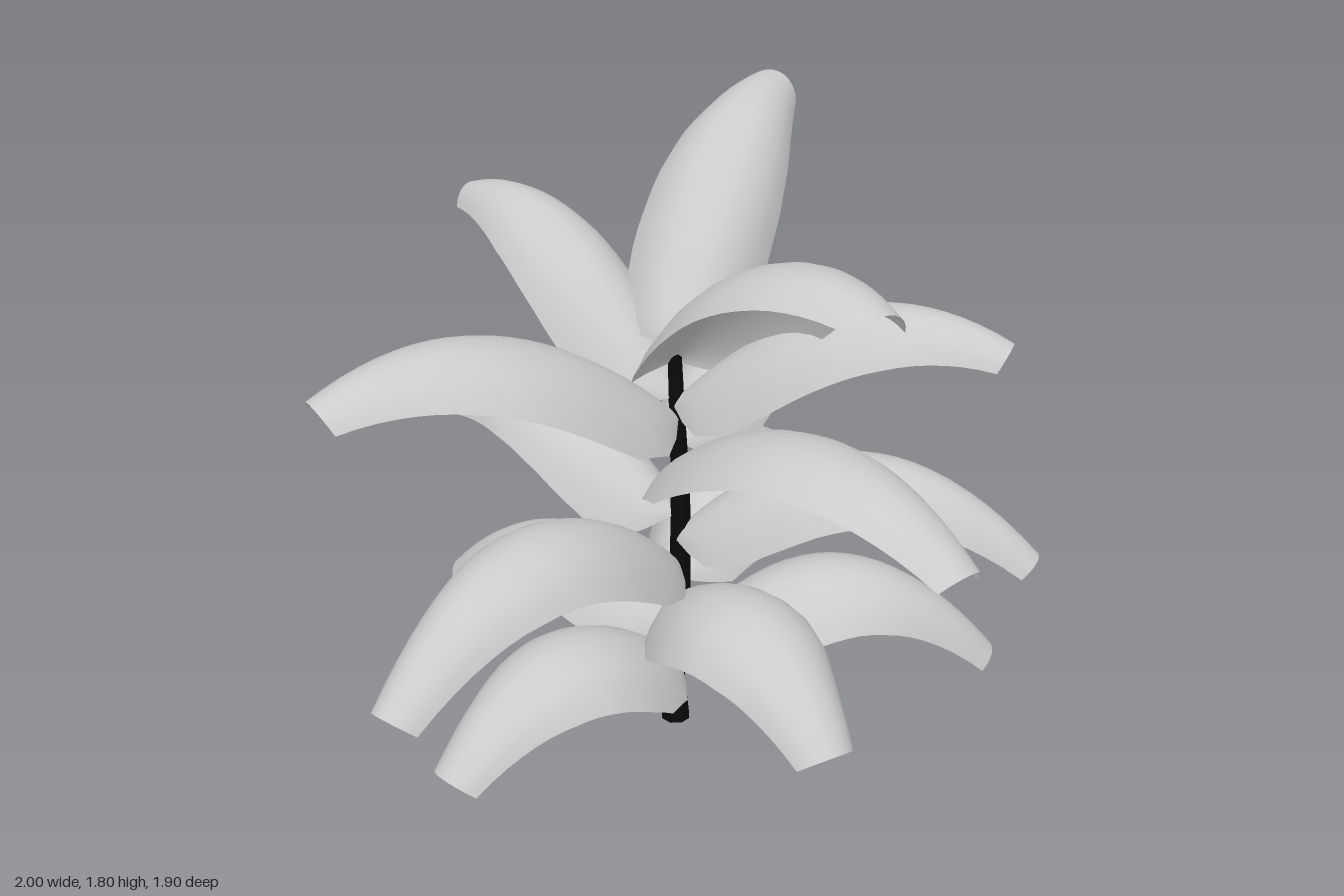
import * as THREE from 'three';

const leafMaterial = new THREE.MeshStandardMaterial({ color: 0xcccccc, side: THREE.DoubleSide });
const stemMaterial = new THREE.MeshStandardMaterial({ color: 0x0a0a0a });

// Centre line of the slightly crooked stem
const stemCurve = new THREE.CatmullRomCurve3([
  [0.055, 0, -0.135], [0.045, 0.17, -0.135], [0.065, 0.4, -0.135],
  [0.07, 0.78, -0.135], [0.06, 1.02, -0.135], [0.055, 1.26, -0.145],
].map(p => new THREE.Vector3(...p)));

// Leaf profile: position along the leaf, half width, drop of the edges
const profile = [[0, 0.02, 0.01], [0.05, 0.1, 0.08], [0.1, 0.16, 0.14], [0.2, 0.205, 0.185],
  [0.32, 0.222, 0.175], [0.48, 0.215, 0.15], [0.65, 0.185, 0.125], [0.82, 0.14, 0.095], [1, 0.092, 0.06]];

function profileAt(t) {
  const i = Math.max(1, profile.findIndex(s => s[0] >= t));
  const [a, b] = [profile[i - 1], profile[i]];
  const f = (t - a[0]) / (b[0] - a[0]);
  return [1, 2].map(k => THREE.MathUtils.lerp(a[k], b[k], f));
}

// Arched leaf: curved cross-sections swept along an arc from stem to tip.
// breadth scales the width, roll turns the blade about its centre line.
function makeLeaf(baseY, midY, x, y, z, breadth = 1, roll = 0) {
  const base = new THREE.Vector3(0.055, baseY, -0.14);
  const tip = new THREE.Vector3(x, y, z);
  const control = base.clone().add(tip).multiplyScalar(0.5);
  control.y = 2 * midY - (baseY + y) / 2;
  const path = new THREE.QuadraticBezierCurve3(base, control, tip);
  const level = new THREE.Vector3(z - base.z, 0, base.x - x).normalize();
  const rows = 20, cols = 10, arc = 1.1;
  const positions = [], index = [];
  for (let i = 0; i <= rows; i++) {
    const t = i / rows, [width, drop] = profileAt(t);
    const centre = path.getPoint(t), tangent = path.getTangent(t);
    const side = level.clone().applyAxisAngle(tangent, roll);
    // edges hang straight down at the base and square to the blade at the tip
    const up = new THREE.Vector3(0, 1, 0).lerp(tangent.clone().cross(level), t)
      .normalize().applyAxisAngle(tangent, roll);
    for (let j = 0; j <= cols; j++) {
      const a = (j / cols * 2 - 1) * arc;
      const p = centre.clone()
        .addScaledVector(side, width * breadth * Math.sin(a) / Math.sin(arc))
        .addScaledVector(up, -drop * (1 - Math.cos(a)) / (1 - Math.cos(arc)));
      positions.push(p.x, p.y, p.z);
      if (i < rows && j < cols) {
        const k = i * (cols + 1) + j, n = k + cols + 1;
        index.push(k, n, k + 1, k + 1, n, n + 1);
      }
    }
  }
  const geometry = new THREE.BufferGeometry();
  geometry.setAttribute('position', new THREE.Float32BufferAttribute(positions, 3));
  geometry.setIndex(index);
  geometry.computeVertexNormals();
  return new THREE.Mesh(geometry, leafMaterial);
}

// Tapered stem bent along its centre line
function makeStem() {
  const geometry = new THREE.CylinderGeometry(0.02, 0.045, 1, 8, 16);
  geometry.translate(0, 0.5, 0);
  const pos = geometry.attributes.position;
  for (let i = 0; i < pos.count; i++) {
    const c = stemCurve.getPoint(pos.getY(i));
    pos.setXYZ(i, c.x + pos.getX(i), c.y, c.z + pos.getZ(i));
  }
  geometry.computeVertexNormals();
  return new THREE.Mesh(geometry, stemMaterial);
}

// Three tiers of five leaves: base height, mid height, tip x, y, z, breadth, roll
const tiers = {
  lower: [
    [0.43, 0.62, 0.15, 0.38, 0.7], [0.23, 0.47, -0.78, 0.23, 0.18, 0.95],
    [0.26, 0.52, 0.99, 0.19, 0.16, 0.95], [0.36, 0.54, -0.4, 0.28, -0.85, 0.82],
    [0.5, 0.75, 0.76, 0.44, -0.78, 0.88],
  ],
  middle: [
    [0.86, 1.18, 0.38, 1.02, 0.93, 1.05, -0.3], [0.56, 0.9, -0.98, 0.62, 0.38, 0.9],
    [0.65, 0.95, 0.92, 0.68, 0.45, 0.8], [0.72, 0.98, -0.38, 0.88, -0.87, 0.78],
    [0.95, 1.21, 0.83, 1.09, -0.68, 0.78, 0.1],
  ],
  upper: [
    [1.2, 1.63, 0.22, 1.65, 0.73, 1.05, -0.25], [1.04, 1.385, -1, 1.33, 0],
    [1.08, 1.42, 0.74, 1.38, 0.49, 0.8], [1.1, 1.49, -0.26, 1.51, -0.94, 0.82],
    [1.25, 1.67, 0.66, 1.79, -0.74, 0.88, 0.3],
  ],
};

export function createModel() {
  const model = new THREE.Group();
  model.name = 'plant';
  const stem = makeStem();
  stem.name = 'stem';
  model.add(stem);
  for (const [tier, leaves] of Object.entries(tiers)) {
    const group = new THREE.Group();
    group.name = tier + 'Leaves';
    leaves.forEach((spec, i) => {
      const leaf = makeLeaf(...spec);
      leaf.name = `${tier}Leaf${i + 1}`;
      group.add(leaf);
    });
    model.add(group);
  }
  return model;
}
